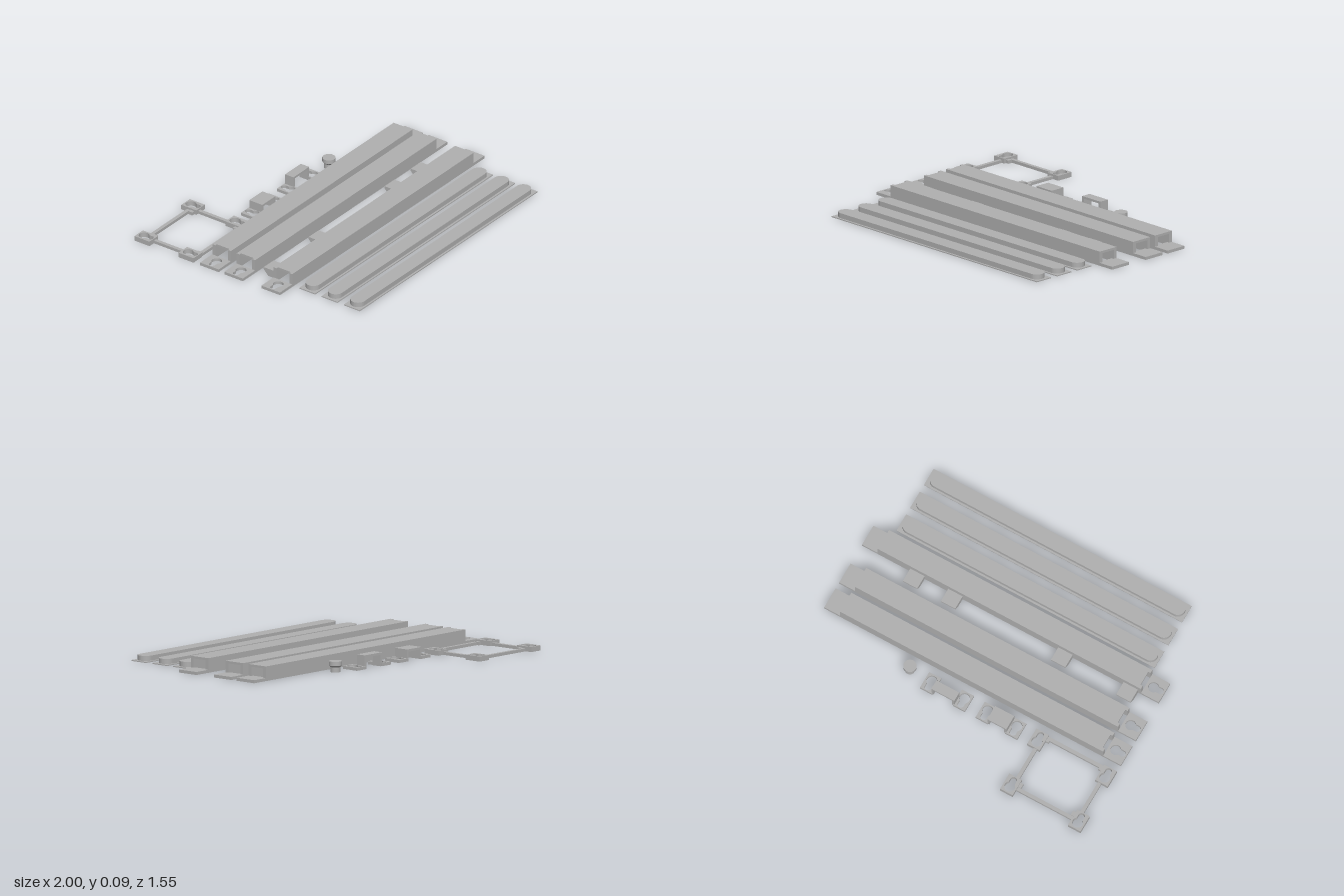
import * as THREE from 'three';

const grey = new THREE.MeshStandardMaterial({ color: 0xb0b0b0 });
grey.name = 'grey plastic';

function add(parent, name, geometry) {
  const mesh = new THREE.Mesh(geometry, grey);
  mesh.name = name;
  parent.add(mesh);
  return mesh;
}

function group(parent, name) {
  const g = new THREE.Group();
  g.name = name;
  parent.add(g);
  return g;
}

// Box given by its limits on each axis
function box(parent, name, x0, x1, y0, y1, z0, z1) {
  const g = new THREE.BoxGeometry(x1 - x0, y1 - y0, z1 - z0);
  g.translate((x0 + x1) / 2, (y0 + y1) / 2, (z0 + z1) / 2);
  return add(parent, name, g);
}

// Outlines are drawn in (x, -z) and raised along y
function raise(shape, y0, y1) {
  const g = new THREE.ExtrudeGeometry(shape, { depth: y1 - y0, bevelEnabled: false, curveSegments: 16 });
  return g.rotateX(-Math.PI / 2).translate(0, y0, 0);
}

function rectShape(x0, x1, z0, z1) {
  const s = new THREE.Shape();
  s.moveTo(x0, -z1).lineTo(x1, -z1).lineTo(x1, -z0).lineTo(x0, -z0).closePath();
  return s;
}

// Round hole with a narrow end pointing along angle a
function keyhole(x, z, a, R = 0.032, r = 0.02, d = 0.045) {
  const p = new THREE.Path();
  const b = Math.asin(r / R);
  p.absarc(x, -z, R, a + b, a - b + Math.PI * 2, false);
  p.absarc(x + d * Math.cos(a), -z + d * Math.sin(a), r, a - Math.PI / 2, a + Math.PI / 2, false);
  p.closePath();
  return p;
}

function keyPlate(parent, name, x0, x1, z0, z1, h, kx, kz, a) {
  const s = rectShape(x0, x1, z0, z1);
  s.holes.push(keyhole(kx, kz, a));
  return add(parent, name, raise(s, 0, h));
}

function stadium(x, z, r, Type = THREE.Shape) {
  const s = new Type();
  s.absarc(x, -z, r, -Math.PI / 2, Math.PI / 2, false);
  s.absarc(-x, -z, r, Math.PI / 2, Math.PI * 1.5, false);
  s.closePath();
  return s;
}

// Long hollow rail, open underneath, with a mounting tab at both ends
function rail(parent, z) {
  const g = group(parent, 'channelRail');
  const w = 0.068, inner = 0.046, h = 0.087;
  for (const s of [-1, 1]) {
    const [a, b] = s < 0 ? [-w, -inner] : [inner, w];
    box(g, 'railWall', -0.88, 0.895, 0, h, a, b);
    for (const x of [-0.6, -0.2, 0.2, 0.6]) {
      const c = s * (inner - 0.003);
      box(g, 'snapRib', x - 0.05, x + 0.05, 0.014, 0.022, c - 0.004, c + 0.004);
    }
  }
  box(g, 'railRoof', -0.865, 0.895, h - 0.014, h, -inner, inner);
  keyPlate(g, 'leftTab', -1, -0.88, -w, w, 0.018, -0.927, 0, Math.PI);
  keyPlate(g, 'rightTab', 0.895, 1, -w, w, 0.018, 0.957, 0, Math.PI);
  box(g, 'tabTongue', 0.878, 0.896, 0, 0.018, -inner, inner);
  g.position.z = z;
}

// Thin cover strip with a raised hollow stadium
function cover(parent, z) {
  const g = group(parent, 'coverStrip');
  const r = 0.046, x = 0.855 - r;
  const base = rectShape(-0.87, 0.87, -0.058, 0.058);
  base.holes.push(stadium(x, 0, r - 0.008, THREE.Path));
  add(g, 'coverFlange', raise(base, 0, 0.006));
  const ring = stadium(x, 0, r);
  ring.holes.push(stadium(x, 0, r - 0.008, THREE.Path));
  add(g, 'coverRim', raise(ring, 0.006, 0.029));
  add(g, 'coverTop', raise(stadium(x, 0, r), 0.029, 0.036));
  g.position.z = z;
}

// Hat-shaped bracket with two keyhole feet
function bridge(parent, x0, x1, foot, h, z1) {
  const g = group(parent, 'bridgeBracket');
  const t = 0.014, a = x0 + foot, b = x1 - foot;
  keyPlate(g, 'bracketFoot', x0, a, -0.457, -0.347, 0.018, x0 + foot / 2, -0.387, Math.PI / 2);
  keyPlate(g, 'bracketFoot', b, x1, -0.457, -0.347, 0.018, x1 - foot / 2, -0.387, Math.PI / 2);
  box(g, 'bracketLeg', a - t / 2, a + t / 2, 0, h, -0.452, z1);
  box(g, 'bracketLeg', b - t / 2, b + t / 2, 0, h, -0.452, z1);
  box(g, 'bracketTop', a + t / 2, b - t / 2, h - t, h, -0.452, z1);
}

export function createModel() {
  const model = new THREE.Group();
  model.name = 'mountingKit';

  for (const z of [-0.231, -0.053, 0.219]) rail(model, z);
  for (const z of [0.389, 0.552, 0.716]) cover(model, z);

  // Chamfered blocks behind the front rail
  const profile = new THREE.Shape();
  profile.moveTo(-0.155, 0).lineTo(-0.155, 0.048).lineTo(-0.0625, 0.048)
    .lineTo(-0.0625, 0.035).lineTo(-0.096, 0).closePath();
  for (const x of [-0.86, -0.42, 0.322, 0.578]) {
    const g = new THREE.ExtrudeGeometry(profile, { depth: 0.097, bevelEnabled: false });
    add(model, 'wedgeBlock', g.rotateY(Math.PI / 2).translate(x, 0, 0));
  }

  // Square frame with a keyhole pad at every corner
  const frame = group(model, 'squareFrame');
  for (const [x, sx] of [[-0.958, 1], [-0.5, -1]]) {
    for (const [z, sz] of [[-0.725, 1], [-0.402, -1]]) {
      keyPlate(frame, 'cornerPad', x - 0.042, x + 0.042, z - 0.055, z + 0.055, 0.03, x, z - 0.015, -Math.PI / 2);
      const cx = x + sx * 0.051, cz = z + (sz > 0 ? 0.026 : -0.022) * 1;
      const lug = sz > 0 ? cz : z + 0.03;
      box(frame, 'cornerLug', cx - 0.011, cx + 0.011, 0, 0.02, lug - 0.015, lug + 0.015);
    }
  }
  for (const z of [-0.726, -0.363]) box(frame, 'crossBar', -0.917, -0.541, 0, 0.018, z - 0.011, z + 0.011);
  for (const x of [-0.946, -0.513]) box(frame, 'sideBar', x - 0.011, x + 0.011, 0, 0.018, -0.671, -0.456);

  bridge(model, -0.39, -0.11, 0.083, 0.07, -0.357);
  bridge(model, -0.037, 0.265, 0.081, 0.082, -0.392);

  // Small round peg with a wider head
  const points = [[0, 0], [0.03, 0], [0.03, 0.03], [0.039, 0.04], [0.039, 0.065], [0, 0.065]];
  const flat = [];
  for (let i = 0; i < points.length - 1; i++) flat.push([points[i], points[i + 1]]);
  const peg = group(model, 'peg');
  for (const seg of flat) {
    add(peg, 'pegSurface', new THREE.LatheGeometry(seg.map(p => new THREE.Vector2(...p)), 32));
  }
  peg.position.set(0.374, 0, -0.384);

  return model;
}
